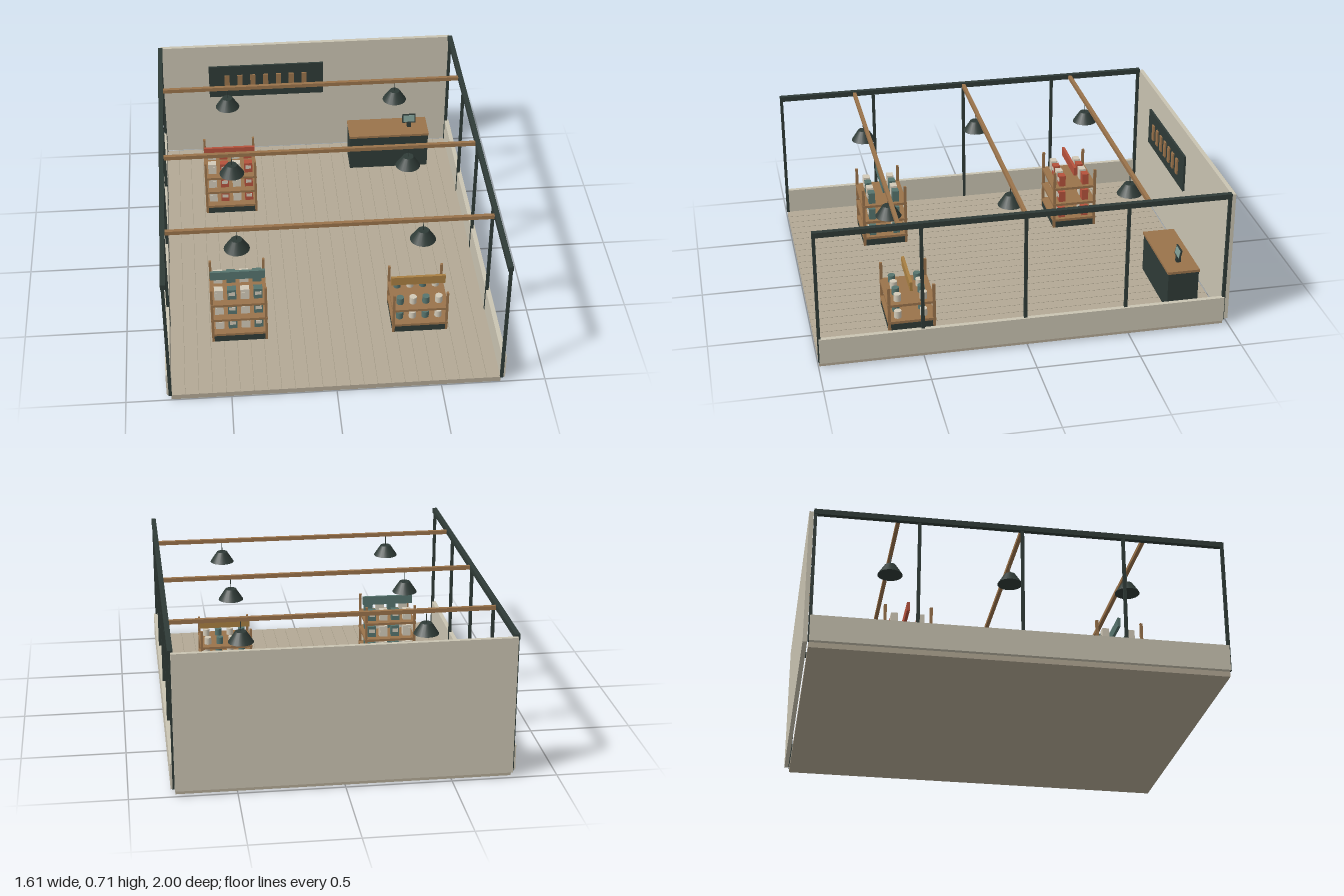
import * as THREE from 'three';

const mat = (color) => new THREE.MeshStandardMaterial({ color });
const M = {
  floor: mat(0xb3a995), seam: mat(0x9f9582), wall: mat(0xcac4b2), dark: mat(0x2f3b37),
  wood: mat(0x9a734b), teal: mat(0x56746e), red: mat(0xb5523c), ochre: mat(0xa87f42),
  cream: mat(0xd2cab8), screen: mat(0x7f9c94),
};
const MID = 0.011;      // room centre along z
const FLOOR = 0.026;    // floor level

function add(parent, name, geometry, material, x, y, z) {
  const mesh = new THREE.Mesh(geometry, material);
  mesh.name = name;
  mesh.position.set(x, y, z);
  parent.add(mesh);
  return mesh;
}
// Box given by its bottom height
function box(parent, name, material, w, h, d, x, y0, z) {
  return add(parent, name, new THREE.BoxGeometry(w, h, d), material, x, y0 + h / 2, z);
}
function group(parent, name, x = 0, y = 0, z = 0) {
  const g = new THREE.Group();
  g.name = name;
  g.position.set(x, y, z);
  parent.add(g);
  return g;
}

// Slab, plank seams and walls
function buildShell(root) {
  const g = group(root, 'shell');
  box(g, 'floorSlab', M.floor, 1.57, FLOOR, 1.97, 0, 0, MID);
  for (let i = 1; i < 24; i++) {
    box(g, 'plankSeam', M.seam, 0.002, 0.0008, 1.965, -0.785 + i * 1.57 / 24, FLOOR, MID);
  }
  box(g, 'backWall', M.wall, 1.575, 0.675, 0.021, 0, FLOOR, -0.9895);
  for (const s of [-1, 1]) box(g, 'sideWall', M.wall, 0.022, 0.128, 1.966, s * 0.795, FLOOR, MID);
}

// Posts, rails and crossbeams
function buildFrame(root) {
  const g = group(root, 'frame');
  for (const s of [-1, 1]) {
    box(g, 'topRail', M.dark, 0.024, 0.026, 1.978, s * 0.788, 0.684, MID);
    for (let i = -2; i <= 2; i++) {
      box(g, 'post', M.dark, 0.015, 0.66, 0.015, s * 0.7895, FLOOR, MID + i * 0.4908);
    }
  }
  for (const i of [-1, 0, 1]) {
    box(g, 'crossbeam', M.wood, 1.556, 0.02, 0.018, 0, 0.685, MID + i * 0.592);
  }
}

function buildLamp(root, x, z) {
  const g = group(root, 'pendantLamp', x, 0, z);
  add(g, 'cord', new THREE.CylinderGeometry(0.0022, 0.0022, 0.056, 6), M.dark, 0, 0.66, 0);
  add(g, 'shade', new THREE.CylinderGeometry(0.027, 0.062, 0.054, 20), M.dark, 0, 0.607, 0);
}

// Wall board with a row of wooden slats
function buildBoard(root) {
  const g = group(root, 'wallBoard');
  box(g, 'panel', M.dark, 0.626, 0.194, 0.011, -0.22, 0.382, -0.9735);
  for (let i = -3; i <= 3; i++) {
    box(g, 'slat', M.wood, 0.028, 0.085, 0.008, -0.223 + i * 0.0705, 0.436, -0.964);
  }
}

function buildCounter(root) {
  const g = group(root, 'counter', 0.44, 0, -0.809);
  box(g, 'body', M.dark, 0.43, 0.2, 0.154, 0, FLOOR, 0);
  box(g, 'counterTop', M.wood, 0.437, 0.013, 0.162, 0, 0.226, 0);
  box(g, 'terminalBase', M.dark, 0.022, 0.03, 0.022, 0.117, 0.239, 0);
  const t = group(g, 'terminal', 0.117, 0.291, 0);
  t.rotation.x = -0.2;
  box(t, 'terminalCase', M.dark, 0.074, 0.05, 0.007, 0, -0.025, 0);
  box(t, 'terminalScreen', M.screen, 0.062, 0.038, 0.002, 0, -0.019, 0.004);
}

// Two-sided display rack: goods stand in two rows on every tier
function buildRack(root, x, z, accent, tiers, jars) {
  const g = group(root, 'displayRack', x, 0, z);
  const W = 0.275, D = 0.235, step = 0.0925;
  const top = 0.075 + step * (tiers - 1);
  box(g, 'plinth', M.dark, W - 0.004, 0.034, D - 0.004, 0, FLOOR, 0);
  for (const sx of [-1, 1]) for (const sz of [-1, 1]) {
    box(g, 'upright', M.wood, 0.012, top + 0.09 - FLOOR, 0.014, sx * (W / 2 - 0.007), FLOOR, sz * (D / 2 - 0.008));
  }
  box(g, 'header', accent, 0.268, 0.046, 0.014, 0, top + 0.066, 0);
  for (let t = 0; t < tiers; t++) {
    const y = 0.075 + t * step;
    box(g, 'shelf', M.wood, W, 0.013, D, 0, y - 0.013, 0);
    for (const s of [-1, 1]) for (let c = 0; c < 4; c++) {
      const px = (c - 1.5) * 0.0635, pz = s * 0.063, odd = c % 2 === 1;
      if (jars) {
        add(g, 'jar', new THREE.CylinderGeometry(0.018, 0.018, 0.037, 14), odd ? M.cream : M.teal, px, y + 0.0185, pz);
      } else {
        box(g, 'package', odd ? accent : M.cream, 0.043, 0.059, 0.034, px, y, pz);
        box(g, 'packageLabel', M.cream, 0.031, 0.02, 0.002, px, y + 0.024, pz + s * 0.0175);
      }
    }
  }
}

export function createModel() {
  const root = new THREE.Group();
  root.name = 'shopInterior';
  buildShell(root);
  buildFrame(root);
  for (const x of [-0.443, 0.441]) for (const i of [-1, 0, 1]) buildLamp(root, x, MID + i * 0.592);
  buildBoard(root);
  buildCounter(root);
  buildRack(root, -0.444, -0.502, M.red, 3, false);
  buildRack(root, -0.444, 0.522, M.teal, 3, false);
  buildRack(root, 0.441, 0.522, M.ochre, 2, true);
  return root;
}
